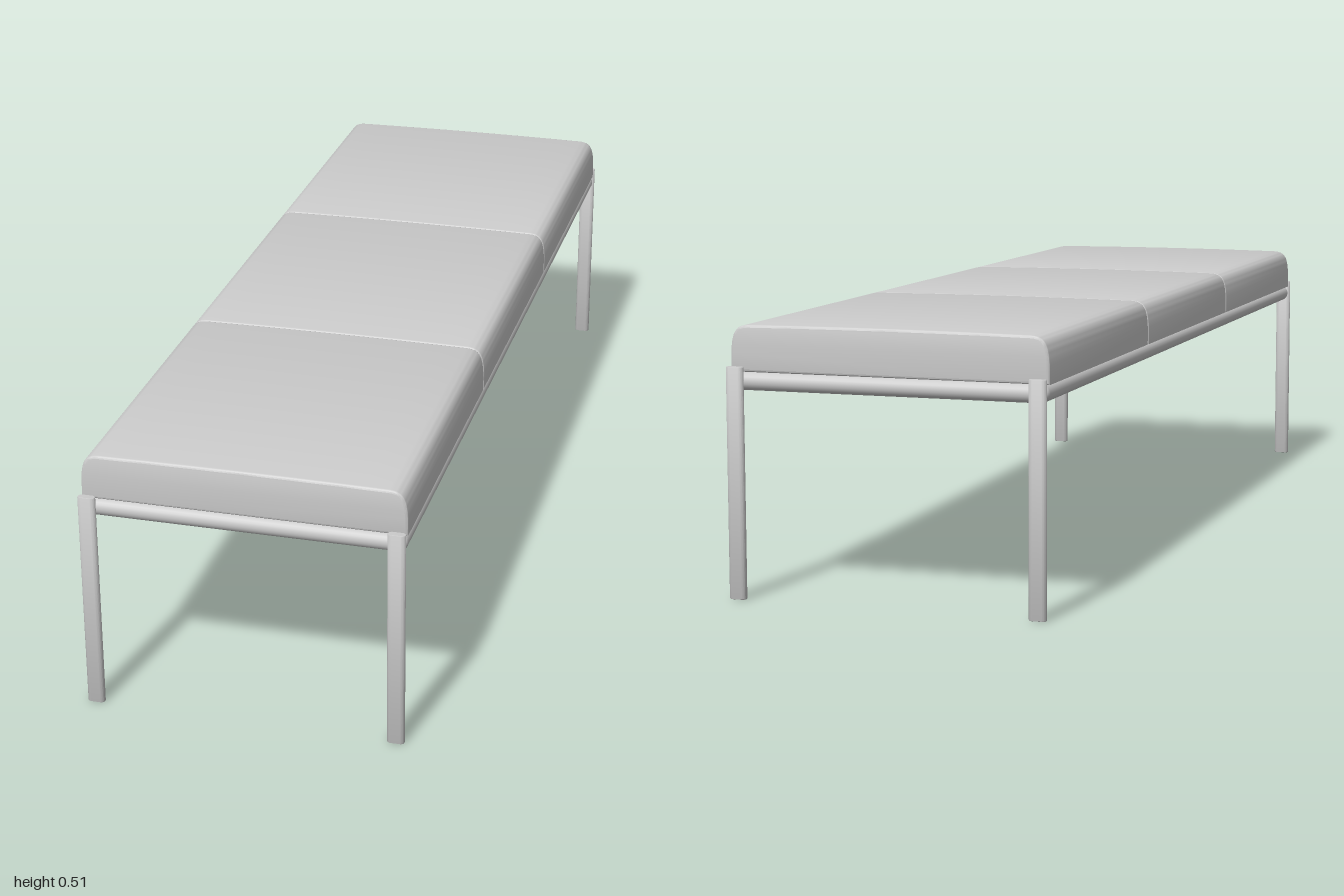
import * as THREE from 'three';
import { toCreasedNormals } from 'three/addons/utils/BufferGeometryUtils.js';

const material = new THREE.MeshStandardMaterial({ color: 0xcccccc });

function add(parent, name, geometry, x = 0, y = 0, z = 0) {
  const mesh = new THREE.Mesh(geometry, material);
  mesh.name = name;
  mesh.position.set(x, y, z);
  parent.add(mesh);
  return mesh;
}

// Cushion section: flat base, slightly drafted sides, soft shoulders, faint crown
function cushionGeometry(length) {
  const s = new THREE.Shape();
  s.moveTo(-0.31, 0);
  s.lineTo(0.31, 0);
  s.lineTo(0.31, 0.035);
  s.bezierCurveTo(0.308, 0.07, 0.303, 0.087, 0.275, 0.088);
  s.quadraticCurveTo(0, 0.092, -0.275, 0.088);
  s.bezierCurveTo(-0.303, 0.087, -0.308, 0.07, -0.31, 0.035);
  s.closePath();
  const bevel = 0.005;
  const geometry = new THREE.ExtrudeGeometry(s, {
    depth: length - 2 * bevel, curveSegments: 12,
    bevelEnabled: true, bevelThickness: bevel, bevelSize: bevel, bevelOffset: -bevel, bevelSegments: 3,
  });
  geometry.translate(0, 0, bevel - length / 2);
  return toCreasedNormals(geometry, 0.6);
}

// Flat bar with rounded edges, standing upright
function legGeometry(width, depth, height) {
  const r = depth / 2, a = width / 2 - r;
  const s = new THREE.Shape();
  s.absarc(a, 0, r, -Math.PI / 2, Math.PI / 2, false);
  s.absarc(-a, 0, r, Math.PI / 2, Math.PI * 1.5, false);
  s.closePath();
  const b = 0.002;
  const geometry = new THREE.ExtrudeGeometry(s, {
    depth: height - 2 * b, curveSegments: 10,
    bevelEnabled: true, bevelThickness: b, bevelSize: b, bevelOffset: -b, bevelSegments: 2,
  });
  geometry.translate(0, 0, b);
  geometry.rotateX(-Math.PI / 2);
  return toCreasedNormals(geometry, 0.6);
}

export function createModel() {
  const bench = new THREE.Group();
  bench.name = 'bench';

  // Three cushions end to end
  const cushionLength = 0.65;
  const cushion = cushionGeometry(cushionLength);
  for (let i = -1; i <= 1; i++) add(bench, 'cushion', cushion, 0, 0.425, i * cushionLength);

  // Round tube frame under the cushions
  const frame = new THREE.Group();
  frame.name = 'frame';
  bench.add(frame);
  const r = 0.0175, fx = 0.292, fy = 0.4085, fz = 0.967;
  const sideRail = new THREE.CylinderGeometry(r, r, 2 * fz, 24).rotateX(Math.PI / 2);
  const endRail = new THREE.CylinderGeometry(r, r, 2 * fx, 24).rotateZ(Math.PI / 2);
  const corner = new THREE.SphereGeometry(r, 24, 16);
  const leg = legGeometry(0.034, 0.016, 0.437);
  for (const side of [-1, 1]) {
    add(frame, 'sideRail', sideRail, side * fx, fy, 0);
    add(frame, 'endRail', endRail, 0, fy, side * fz);
    for (const end of [-1, 1]) {
      add(frame, 'frameCorner', corner, side * fx, fy, end * fz);
      // Legs sit on the outside of the end rails
      add(bench, 'leg', leg, side * 0.294, 0, end * 0.992);
    }
  }
  return bench;
}
